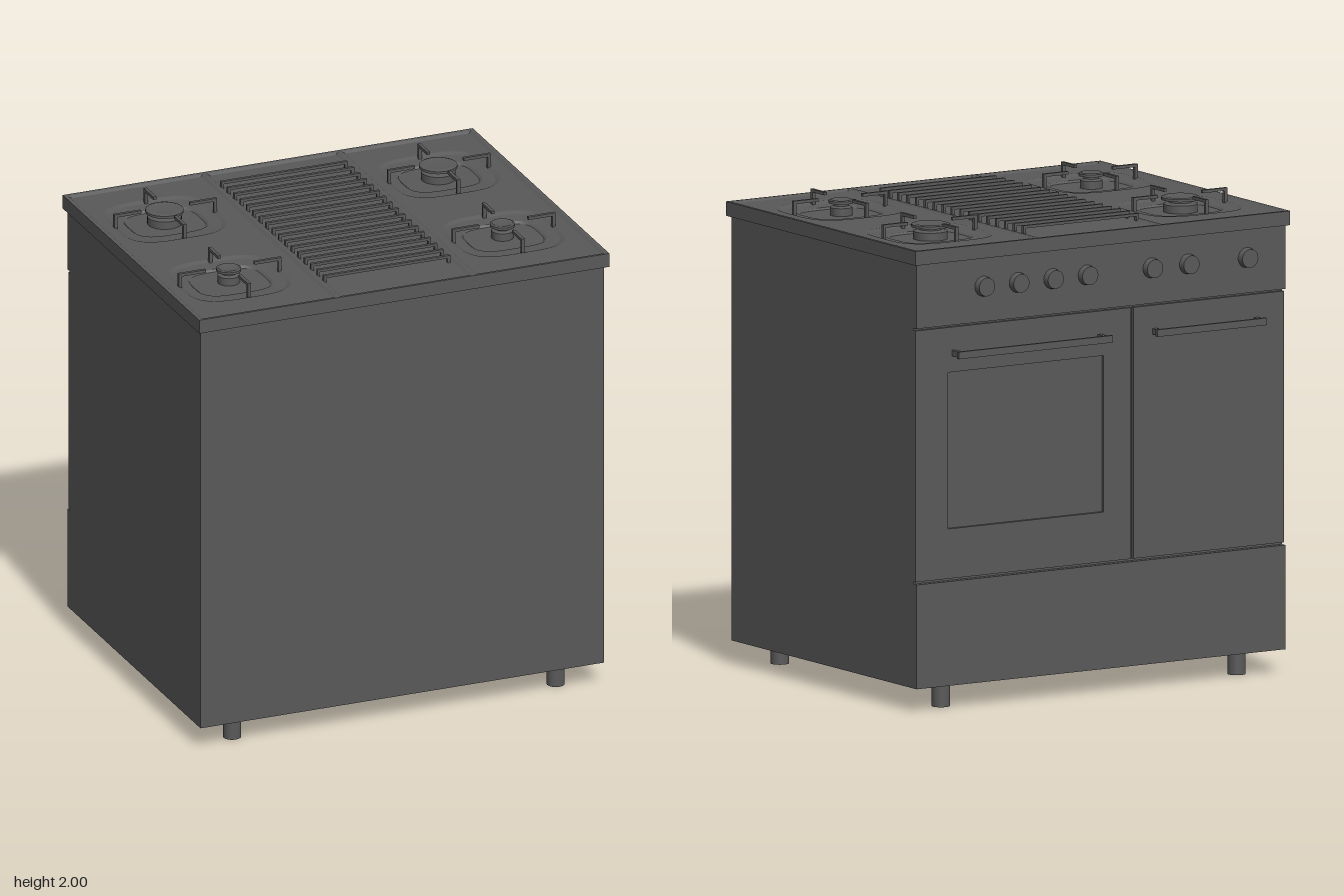
import * as THREE from 'three';
import { toCreasedNormals } from 'three/addons/utils/BufferGeometryUtils.js';

export function createModel() {
  const root = new THREE.Group();
  const steel = new THREE.MeshStandardMaterial({ color: 0x595959 });
  steel.name = 'dark grey enamel';

  const add = (name, geo, parent = root) => {
    const m = new THREE.Mesh(geo, steel);
    m.name = name;
    parent.add(m);
    return m;
  };
  // box given by its limits
  const box = (name, x0, x1, y0, y1, z0, z1, parent) =>
    add(name, new THREE.BoxGeometry(x1 - x0, y1 - y0, z1 - z0)
      .translate((x0 + x1) / 2, (y0 + y1) / 2, (z0 + z1) / 2), parent);
  const group = (name) => {
    const g = new THREE.Group();
    g.name = name;
    root.add(g);
    return g;
  };
  const poly = (pts, Type = THREE.Shape) => new Type(pts.map(([x, y]) => new THREE.Vector2(x, y)));
  const rect = (x0, x1, y0, y1) => [[x0, y0], [x1, y0], [x1, y1], [x0, y1]];
  // rounded square outline around a centre, in plan (x, z)
  const squircle = (cx, cz, a, b, n = 48) => Array.from({ length: n }, (_, i) => {
    const t = i / n * Math.PI * 2, c = Math.cos(t), s = Math.sin(t), e = 2 / 3.5;
    return [cx + a * Math.sign(c) * Math.abs(c) ** e, cz + b * Math.sign(s) * Math.abs(s) ** e];
  });
  // skin between plan outlines at given heights, listed from outside to inside
  const loft = (rings, close) => {
    const pos = [], idx = [], n = rings[0].pts.length;
    rings.forEach(({ pts, y }) => pts.forEach(([x, z]) => pos.push(x, y, z)));
    for (let r = 0; r < rings.length - 1; r++) {
      for (let i = 0; i < n; i++) {
        const a = r * n + i, b = r * n + (i + 1) % n;
        idx.push(a, a + n, b, b, a + n, b + n);
      }
    }
    if (close) {
      const last = (rings.length - 1) * n;
      for (let i = 1; i < n - 1; i++) idx.push(last, last + i + 1, last + i);
    }
    const g = new THREE.BufferGeometry();
    g.setAttribute('position', new THREE.Float32BufferAttribute(pos, 3));
    g.setIndex(idx);
    return toCreasedNormals(g, 0.3);
  };

  // cabinet and feet
  box('cabinet', -0.91, 0.91, 0.1, 1.9, -0.67, 0.73);
  for (const x of [-0.73, 0.73]) {
    for (const z of [-0.6, 0.64]) {
      add('foot', new THREE.CylinderGeometry(0.038, 0.038, 0.11, 24).translate(x, 0.055, z));
    }
  }

  // control panel, drawer and doors on the -z side
  box('controlPanel', -0.91, 0.91, 1.62, 1.89, -0.695, -0.66);
  box('drawer', -0.91, 0.91, 0.1, 0.54, -0.695, -0.66);
  box('smallDoor', -0.91, -0.168, 0.55, 1.61, -0.685, -0.66);
  const door = poly(rect(-0.155, 0.91, 0.55, 1.61));
  door.holes.push(poly(rect(-0.02, 0.75, 0.76, 1.42), THREE.Path));
  add('ovenDoor', new THREE.ExtrudeGeometry(door, { depth: 0.025, bevelEnabled: false }).translate(0, 0, -0.685));

  // door handles
  for (const [x0, x1, z] of [[-0.02, 0.74, -0.755], [-0.79, -0.25, -0.74]]) {
    const h = group('doorHandle');
    box('handleBar', x0, x1, 1.485, 1.515, z, z + 0.014, h);
    for (const x of [x0 + 0.02, x1 - 0.02]) box('handlePost', x - 0.01, x + 0.01, 1.488, 1.512, z + 0.01, -0.68, h);
  }

  // knobs
  for (const x of [-0.72, -0.43, -0.25, 0.07, 0.24, 0.41, 0.58]) {
    add('knob', new THREE.CylinderGeometry(0.039, 0.043, 0.03, 28).rotateX(-Math.PI / 2).translate(x, 1.77, -0.708));
  }

  // hob rim with three shallow pans
  const top = 1.95, floorY = 1.942;
  const pans = [[-0.91, -0.3], [-0.285, 0.31], [0.325, 0.91]];
  const zBack = 0.74, zFront = -0.695, slope = 0.014;
  const rim = poly(rect(-0.925, 0.925, -0.752, 0.71));
  for (const [x0, x1] of pans) rim.holes.push(poly(rect(x0, x1, -zBack, -zFront), THREE.Path));
  add('hobRim', new THREE.ExtrudeGeometry(rim, { depth: 0.06, bevelEnabled: false })
    .rotateX(-Math.PI / 2).translate(0, 1.89, 0));

  const centres = { x: [-0.625, 0.61], z: [-0.325, 0.365] };
  pans.forEach(([x0, x1], i) => {
    add('panEdge', loft([
      { pts: rect(x0, x1, zFront, zBack), y: top },
      { pts: rect(x0 + slope, x1 - slope, zFront + slope, zBack - slope), y: floorY },
    ]));
    const floor = poly(rect(x0 + slope, x1 - slope, -zBack + slope, -zFront - slope));
    if (i !== 1) {
      const cx = centres.x[i / 2];
      for (const cz of centres.z) {
        floor.holes.push(poly(squircle(cx, -cz, 0.232, 0.222), THREE.Path));
        // sunken burner dish
        add('burnerDish', loft([
          { pts: squircle(cx, cz, 0.232, 0.222), y: floorY },
          { pts: squircle(cx, cz, 0.215, 0.203), y: 1.934 },
          { pts: squircle(cx, cz, 0.168, 0.14), y: 1.93 },
          { pts: squircle(cx, cz, 0.158, 0.13), y: 1.922 },
        ], true));
      }
    }
    add('panFloor', new THREE.ShapeGeometry(floor).rotateX(-Math.PI / 2).translate(0, floorY, 0));
  });

  // burners and pot supports
  for (const cx of centres.x) {
    for (const cz of centres.z) {
      const r = cz < 0 ? 0.08 : 0.052;
      const profile = [[r * 0.9, 1.92], [r * 0.9, 1.955], [r * 0.62, 1.962], [r * 0.62, 1.97],
        [r, 1.973], [r, 1.984], [r * 0.85, 1.988], [r * 0.7, 1.986], [0, 1.986]];
      const burner = new THREE.LatheGeometry(profile.map(([x, y]) => new THREE.Vector2(x, y)), 32);
      add('burner', toCreasedNormals(burner, 0.5)).position.set(cx, 0, cz < 0 ? -0.332 : 0.355);

      const grate = group('potSupport');
      grate.position.set(cx, 0, cz);
      for (let k = 0; k < 4; k++) {
        const out = k % 2 ? 0.213 : 0.232;
        const arm = new THREE.Group();
        arm.name = 'supportArm';
        arm.rotation.y = k * Math.PI / 2;
        grate.add(arm);
        box('armBar', 0.11, out, 1.987, 2, -0.007, 0.007, arm);
        box('armLeg', out - 0.014, out, 1.93, 1.99, -0.007, 0.007, arm);
      }
    }
  }

  // centre grill of parallel bars
  const grill = group('grill');
  for (let i = 0; i < 17; i++) {
    const z = -0.535 + i * 0.0685;
    box('grillBar', -0.285, 0.285, 1.963, 1.975, z - 0.007, z + 0.007, grill);
    for (const x of [-0.279, 0.279]) box('grillLeg', x - 0.006, x + 0.006, 1.938, 1.967, z - 0.007, z + 0.007, grill);
  }
  return root;
}
